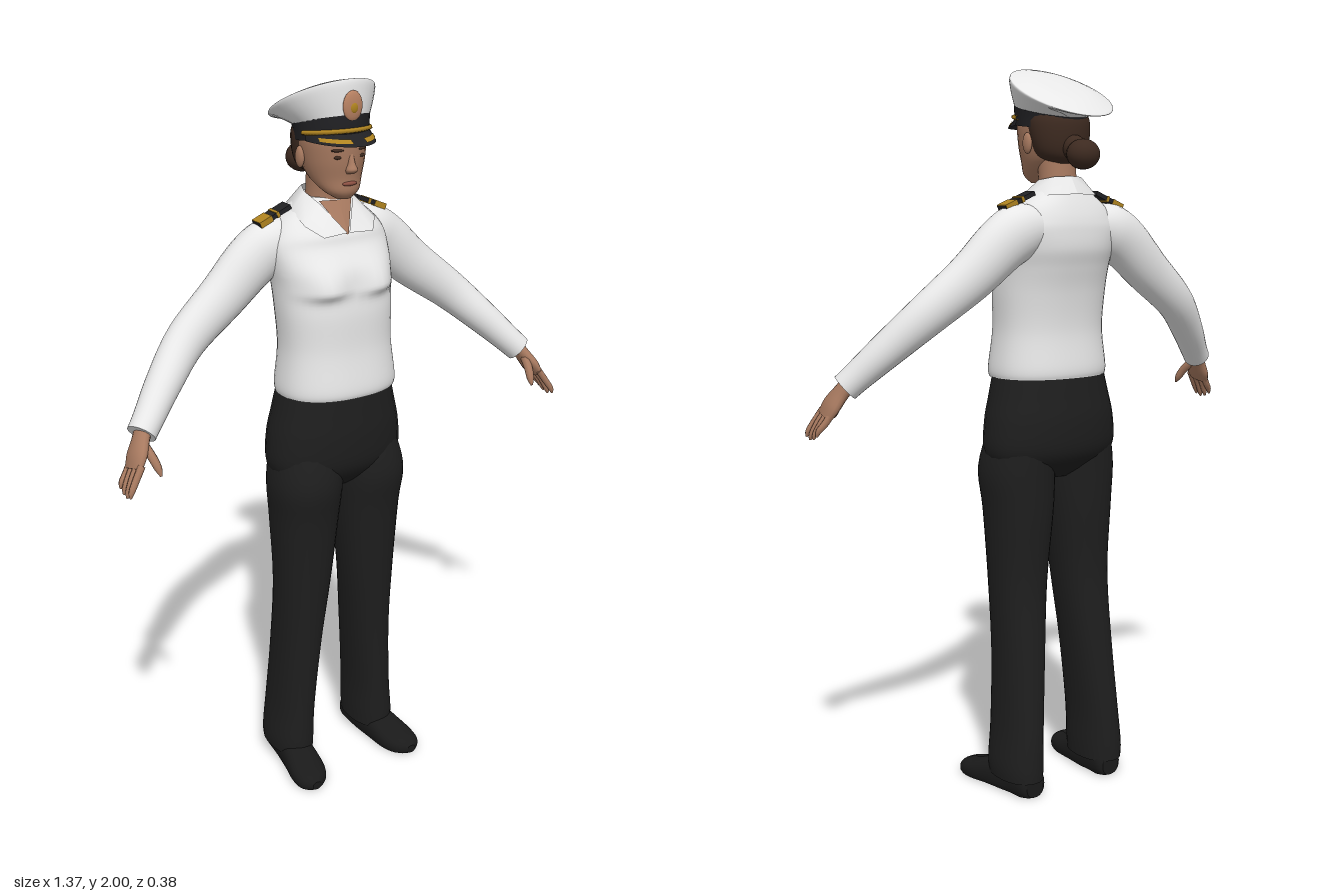
import * as THREE from 'three';

const mat = (name, color, side = THREE.FrontSide) => {
  const m = new THREE.MeshStandardMaterial({ color, side });
  m.name = name;
  return m;
};

// Smooth loft through sections [x, y, z, sideRadius, frontRadius, yShear]
function loft(sections, { axis = null, ref = [0, 0, 1], n = 28, steps = 5, e = 2, shape = null } = {}) {
  const rows = [];
  const at = i => sections[Math.min(Math.max(i, 0), sections.length - 1)];
  for (let i = 0; i < sections.length - 1; i++) {
    for (let k = 0; k < steps + (i === sections.length - 2 ? 1 : 0); k++) {
      const t = k / steps;
      rows.push([0, 1, 2, 3, 4, 5].map(d => {
        const [a, b, c, f] = [i - 1, i, i + 1, i + 2].map(q => at(q)[d] || 0);
        return b + 0.5 * t * (c - a + t * (2 * a - 5 * b + 4 * c - f + t * (3 * (b - c) + f - a)));
      }));
    }
  }
  const pos = [], idx = [], P = r => new THREE.Vector3(r[0], r[1], r[2]);
  const pw = x => Math.sign(x) * Math.abs(x) ** (2 / e);
  rows.forEach((r, i) => {
    const t = axis ? new THREE.Vector3(...axis)
      : P(rows[Math.min(i + 1, rows.length - 1)]).sub(P(rows[Math.max(i - 1, 0)])).normalize();
    const v = new THREE.Vector3(...ref).addScaledVector(t, -t.dot(new THREE.Vector3(...ref))).normalize();
    const u = v.clone().cross(t);
    for (let j = 0; j < n; j++) {
      const a = j / n * Math.PI * 2, sv = Math.max(r[4], 0.001) * pw(Math.sin(a));
      const p = P(r).addScaledVector(u, Math.max(r[3], 0.001) * pw(Math.cos(a))).addScaledVector(v, sv);
      p.y += r[5] * sv;
      if (shape) shape(p);
      pos.push(p.x, p.y, p.z);
      if (i) {
        const b = (i - 1) * n, j2 = (j + 1) % n;
        idx.push(b + j, b + j2, b + n + j2, b + j, b + n + j2, b + n + j);
      }
    }
  });
  // end caps with their own corners
  [0, rows.length - 1].forEach((row, end) => {
    const base = pos.length / 3, c = P(rows[row]);
    if (shape) shape(c);
    for (let j = 0; j < n; j++) pos.push(...pos.slice((row * n + j) * 3, (row * n + j) * 3 + 3));
    pos.push(c.x, c.y, c.z);
    for (let j = 0; j < n; j++) {
      const k = base + (j + 1) % n;
      idx.push(base + n, end ? base + j : k, end ? k : base + j);
    }
  });
  return build(pos, idx);
}

function build(pos, idx) {
  const g = new THREE.BufferGeometry();
  g.setAttribute('position', new THREE.Float32BufferAttribute(pos, 3));
  g.setIndex(idx);
  g.computeVertexNormals();
  return g;
}

// Open sheet between two edges with equal point counts
function strip(a, b) {
  const pos = [], idx = [];
  a.forEach((p, i) => {
    pos.push(...p, ...b[i]);
    if (i) { const k = 2 * i; idx.push(k - 2, k - 1, k + 1, k - 2, k + 1, k); }
  });
  return build(pos, idx);
}

export function createModel() {
  const root = new THREE.Group();
  root.name = 'officer';
  const DS = THREE.DoubleSide;
  const white = mat('white cloth', 0xe8e8e8, DS), trousers = mat('trouser black', 0x1e1e1e);
  const leather = mat('shoe black', 0x1a1a1a), capBlack = mat('cap black', 0x212124, DS);
  const skin = mat('skin', 0xa87a60, DS), hair = mat('hair brown', 0x3d2a20);
  const gold = mat('gold', 0xb08420, DS), badge = mat('badge copper', 0xb98263), lip = mat('lips', 0x8c5042);
  const add = (name, geo, m, p = [0, 0, 0], s = [1, 1, 1]) => {
    const o = new THREE.Mesh(geo, m);
    o.name = name;
    o.position.set(...p);
    o.scale.set(...s);
    root.add(o);
    return o;
  };
  const ball = (name, m, p, s) => add(name, new THREE.SphereGeometry(1, 18, 12), m, p, s);
  const up = { axis: [0, 1, 0] };

  // Shirt body, with a fuller chest that ends in a pocket-line fold
  const chest = p => {
    if (p.z < 0.03) return;
    const dy = (p.y - 1.465) / (p.y < 1.465 ? 0.02 : 0.055), dx = (Math.abs(p.x) - 0.085) / 0.055;
    p.z += 0.026 * Math.exp(-dx * dx - dy * dy);
  };
  add('shirt', loft([[0, 1.172, 0.018, 0.168, 0.127], [0, 1.2, 0.018, 0.17, 0.13], [0, 1.3, 0.016, 0.16, 0.118],
    [0, 1.4, 0.01, 0.164, 0.12], [0, 1.47, -0.003, 0.166, 0.122], [0, 1.52, -0.015, 0.172, 0.123],
    [0, 1.57, -0.03, 0.175, 0.108], [0, 1.6, -0.033, 0.162, 0.1], [0, 1.63, -0.038, 0.138, 0.085],
    [0, 1.66, -0.04, 0.1, 0.07], [0, 1.69, -0.04, 0.06, 0.055]], { ...up, n: 44, steps: 8, e: 2.3, shape: chest }), white);

  // Hips
  add('trouserHips', loft([[0, 0.89, 0.01, 0.1, 0.055], [0, 0.92, 0.01, 0.165, 0.09], [0, 0.97, 0.008, 0.2, 0.122],
    [0, 1.05, 0.008, 0.196, 0.13], [0, 1.12, 0.01, 0.18, 0.125], [0, 1.19, 0.012, 0.163, 0.118]], { ...up, e: 2.2 }), trousers);

  // Neck, open shirt front and head
  add('neck', loft([[0, 1.62, -0.035, 0.056, 0.055], [0, 1.7, -0.03, 0.052, 0.05], [0, 1.78, -0.02, 0.054, 0.055]], up), skin);
  add('openNeck', strip([[-0.05, 1.685, 0.02], [0, 1.685, 0.035], [0.05, 1.685, 0.02]],
    [[-0.004, 1.605, 0.079], [0, 1.603, 0.08], [0.004, 1.605, 0.079]]), skin);
  add('head', loft([[0, 1.695, 0.058, 0.02, 0.018], [0, 1.715, 0.045, 0.049, 0.044], [0, 1.75, 0.015, 0.07, 0.075],
    [0, 1.8, 0.004, 0.083, 0.093], [0, 1.86, 0, 0.086, 0.096], [0, 1.92, 0, 0.06, 0.07]], up), skin);
  add('nose', loft([[0, 1.818, 0.088, 0.008, 0.008], [0, 1.79, 0.094, 0.01, 0.013], [0, 1.774, 0.097, 0.016, 0.017],
    [0, 1.764, 0.092, 0.012, 0.01]], { axis: [0, -1, 0], n: 14 }), skin);
  ball('mouth', lip, [0, 1.737, 0.088], [0.022, 0.006, 0.007]);

  // Hair and bun
  add('hair', loft([[0, 1.745, -0.055, 0.03, 0.025], [0, 1.765, -0.045, 0.068, 0.052], [0, 1.8, -0.042, 0.084, 0.064],
    [0, 1.85, -0.035, 0.091, 0.072], [0, 1.88, -0.03, 0.085, 0.066]], up), hair);
  ball('bun', hair, [0, 1.768, -0.142], [0.046, 0.04, 0.043]);
  ball('bunTie', hair, [0, 1.785, -0.105], [0.034, 0.034, 0.03]);

  // Cap: sloping white crown, black band, peak and gold trim
  add('capBand', loft([[0, 1.842, 0, 0.094, 0.1, 0.1], [0, 1.866, 0, 0.096, 0.103, 0.16], [0, 1.89, -0.002, 0.099, 0.105, 0.22]],
    { ...up, n: 36 }), capBlack);
  add('capCrown', loft([[0, 1.886, -0.002, 0.098, 0.104, 0.22], [0, 1.912, -0.026, 0.122, 0.126, 0.36],
    [0, 1.929, -0.046, 0.136, 0.141, 0.47], [0, 1.937, -0.046, 0.124, 0.128, 0.47], [0, 1.949, -0.046, 0.075, 0.08, 0.47],
    [0, 1.953, -0.046, 0.001, 0.001, 0.47]], { ...up, n: 40 }), white);
  const arc = (from, to, f) => Array.from({ length: 17 }, (_, i) => f(from + (to - from) * i / 16));
  const peak = (a, v, lift = 0) => [
    Math.sin(a) * (0.095 + 0.003 * v),
    1.866 - 0.026 * v + lift + 0.006 * v * (1 - Math.cos(a)),
    Math.cos(a) * (0.1 + 0.047 * v)];
  add('capPeak', strip(arc(-1.35, 1.35, a => peak(a, 0)), arc(-1.35, 1.35, a => peak(a, 1))), capBlack);
  for (const s of [-1, 1])
    add('peakLeaves', strip(arc(0.2, 1.0, a => peak(s * a, 0.5, 0.003)), arc(0.2, 1.0, a => peak(s * a, 0.85, 0.003))), gold);
  const cord = new THREE.CatmullRomCurve3(arc(-1.4, 1.4, a =>
    new THREE.Vector3(0.098 * Math.sin(a), 1.862 + 0.012 * Math.cos(a), 0.105 * Math.cos(a))));
  add('capCord', new THREE.TubeGeometry(cord, 32, 0.006, 6), gold);
  ball('capBadge', badge, [0, 1.934, 0.1], [0.029, 0.038, 0.009]);
  ball('badgeCentre', gold, [0, 1.93, 0.106], [0.012, 0.014, 0.005]);

  for (const s of [1, -1]) {
    const side = s > 0 ? 'left' : 'right';
    const M = list => list.map(([x, ...r]) => [x * s, ...r]);

    // Face details
    ball(side + 'Eye', hair, [0.033 * s, 1.806, 0.086], [0.013, 0.005, 0.006]);
    const brow = ball(side + 'Brow', hair, [0.035 * s, 1.824, 0.087], [0.019, 0.004, 0.006]);
    brow.rotation.y = 0.3 * s;
    ball(side + 'Ear', skin, [0.087 * s, 1.798, -0.012], [0.01, 0.028, 0.017]);

    // Collar half
    add(side + 'Collar', strip(
      M([[0, 1.712, -0.09], [0.045, 1.71, -0.075], [0.063, 1.702, -0.03], [0.05, 1.678, 0.026], [0.003, 1.608, 0.084]]),
      M([[0, 1.665, -0.12], [0.075, 1.662, -0.102], [0.104, 1.658, -0.03], [0.108, 1.63, 0.045], [0.075, 1.604, 0.086]])), white);

    // Shoulder board
    const board = new THREE.Group();
    board.name = side + 'ShoulderBoard';
    board.position.set(0.15 * s, 1.648, -0.05);
    board.rotation.z = -0.4 * s;
    [[0, 0.1, 0.012, capBlack], [0.03, 0.038, 0.016, gold], [-0.008, 0.008, 0.016, gold]].forEach(([x, w, h, m], i) => {
      const b = new THREE.Mesh(new THREE.BoxGeometry(w, h, i ? 0.042 : 0.04), m);
      b.name = i ? 'rankStripe' : 'boardBase';
      b.position.x = x * s;
      board.add(b);
    });
    root.add(board);

    // Sleeve
    add(side + 'Sleeve', loft(M([[0.09, 1.575, -0.055, 0.06, 0.06], [0.15, 1.565, -0.058, 0.075, 0.066],
      [0.21, 1.53, -0.06, 0.074, 0.061], [0.3, 1.452, -0.054, 0.066, 0.055], [0.42, 1.36, -0.035, 0.056, 0.05],
      [0.51, 1.275, 0.01, 0.047, 0.047], [0.575, 1.208, 0.05, 0.04, 0.041], [0.606, 1.176, 0.068, 0.038, 0.039]])), white);

    // Hand, fingers and thumb
    add(side + 'Hand', loft(M([[0.59, 1.2, 0.055, 0.02, 0.026], [0.612, 1.165, 0.075, 0.019, 0.03],
      [0.633, 1.13, 0.092, 0.018, 0.04], [0.648, 1.102, 0.102, 0.012, 0.036]]), { n: 16 }), skin);
    for (let i = 0; i < 4; i++) {
      const z = 0.072 + i * 0.019, d = [0.012, 0.003, 0, 0.006][i];
      add(side + 'Finger', loft(M([[0.638, 1.118, z, 0.01, 0.01], [0.66, 1.085, z + 0.008, 0.0095, 0.0095],
        [0.675, 1.055 + d, z + 0.014, 0.008, 0.008], [0.68, 1.04 + d, z + 0.016, 0.003, 0.003]]), { n: 8, steps: 3 }), skin);
    }
    add(side + 'Thumb', loft(M([[0.612, 1.158, 0.09, 0.012, 0.014], [0.604, 1.13, 0.122, 0.012, 0.012],
      [0.598, 1.105, 0.14, 0.01, 0.01], [0.596, 1.088, 0.15, 0.003, 0.003]]), { n: 8, steps: 3 }), skin);

    // Trouser leg
    add(side + 'TrouserLeg', loft(M([[0.09, 1.04, 0.006, 0.085, 0.1], [0.102, 0.92, 0.022, 0.1, 0.112],
      [0.102, 0.8, 0.016, 0.093, 0.102], [0.108, 0.6, 0.012, 0.077, 0.088], [0.119, 0.4, -0.005, 0.064, 0.09],
      [0.133, 0.2, -0.018, 0.058, 0.096], [0.14, 0.09, -0.021, 0.062, 0.098], [0.14, 0.045, -0.022, 0.06, 0.096]]),
      { axis: [0, -1, 0], e: 2.2 }), trousers);

    // Shoe, flattened on the ground
    add(side + 'Shoe', loft(M([[0.135, 0.03, -0.108, 0.028, 0.03], [0.136, 0.035, -0.09, 0.042, 0.045],
      [0.14, 0.035, -0.02, 0.044, 0.06], [0.148, 0.03, 0.05, 0.05, 0.05], [0.158, 0.02, 0.12, 0.054, 0.035],
      [0.165, 0.016, 0.165, 0.042, 0.026], [0.168, 0.014, 0.188, 0.014, 0.012]]),
      { axis: [0, 0, 1], ref: [0, 1, 0], n: 24, e: 2.3, shape: p => { p.y = Math.max(p.y, 0); } }), leather);
  }
  return root;
}
